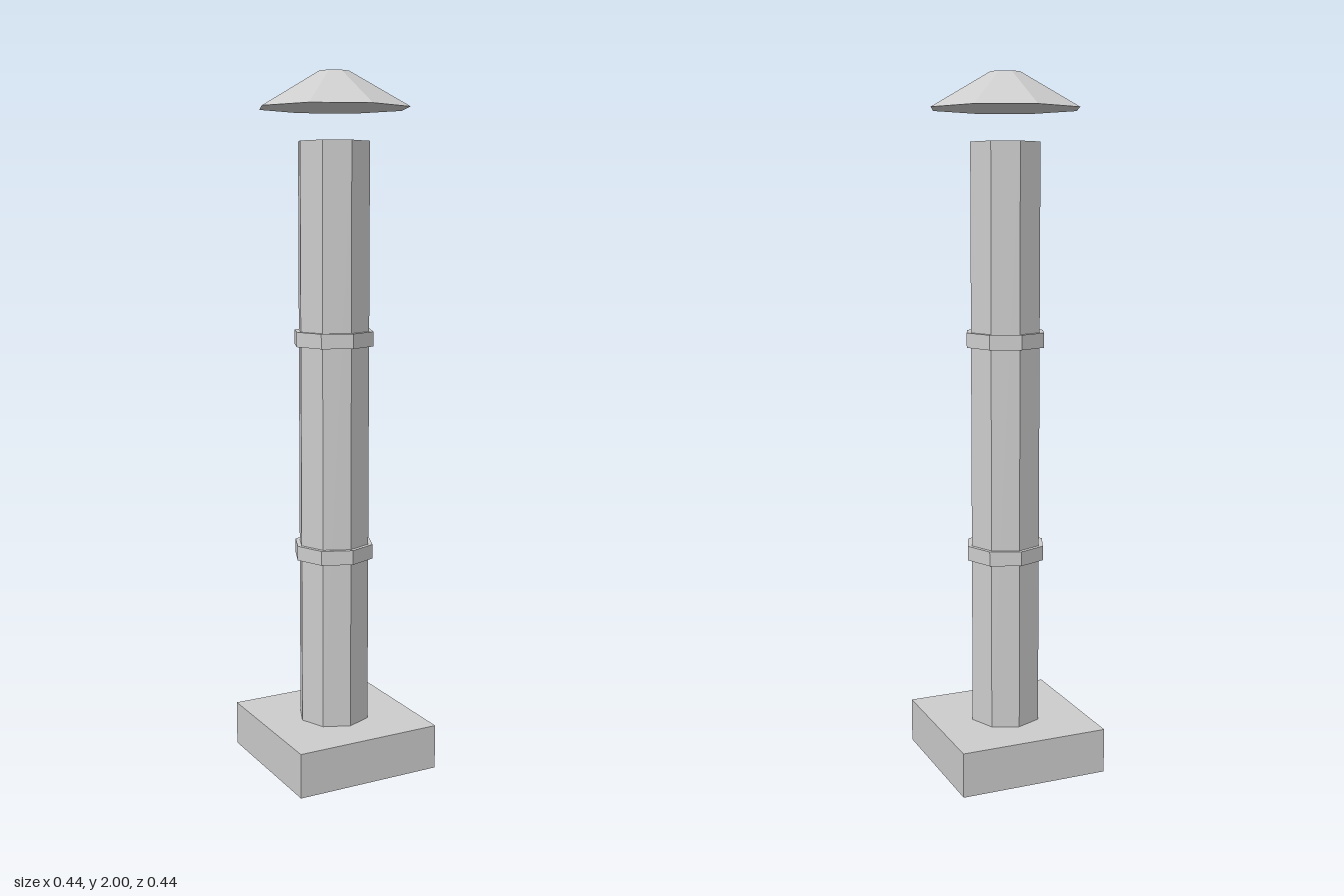
import * as THREE from 'three';

export function createModel() {
  const model = new THREE.Group();
  model.name = 'chimneyPipe';
  const metal = new THREE.MeshStandardMaterial({ color: 0xcccccc, flatShading: true });
  metal.name = 'light grey metal';

  const add = (name, geometry, y) => {
    const mesh = new THREE.Mesh(geometry, metal);
    mesh.name = name;
    mesh.position.y = y;
    model.add(mesh);
  };

  // Eight-sided section between two heights, corners on the axes
  const octagon = (name, topRadius, bottomRadius, y0, y1) =>
    add(name, new THREE.CylinderGeometry(topRadius, bottomRadius, y1 - y0, 8), (y0 + y1) / 2);

  // Square foot
  add('base', new THREE.BoxGeometry(0.44, 0.13, 0.44), 0.065);

  // Shaft with two joint bands
  octagon('pipe', 0.105, 0.105, 0.13, 1.81);
  octagon('lowerBand', 0.118, 0.118, 0.62, 0.662);
  octagon('upperBand', 0.118, 0.118, 1.24, 1.282);

  // Rain cap, raised clear of the pipe mouth
  octagon('rainCap', 0.044, 0.22, 1.9, 2);

  return model;
}
